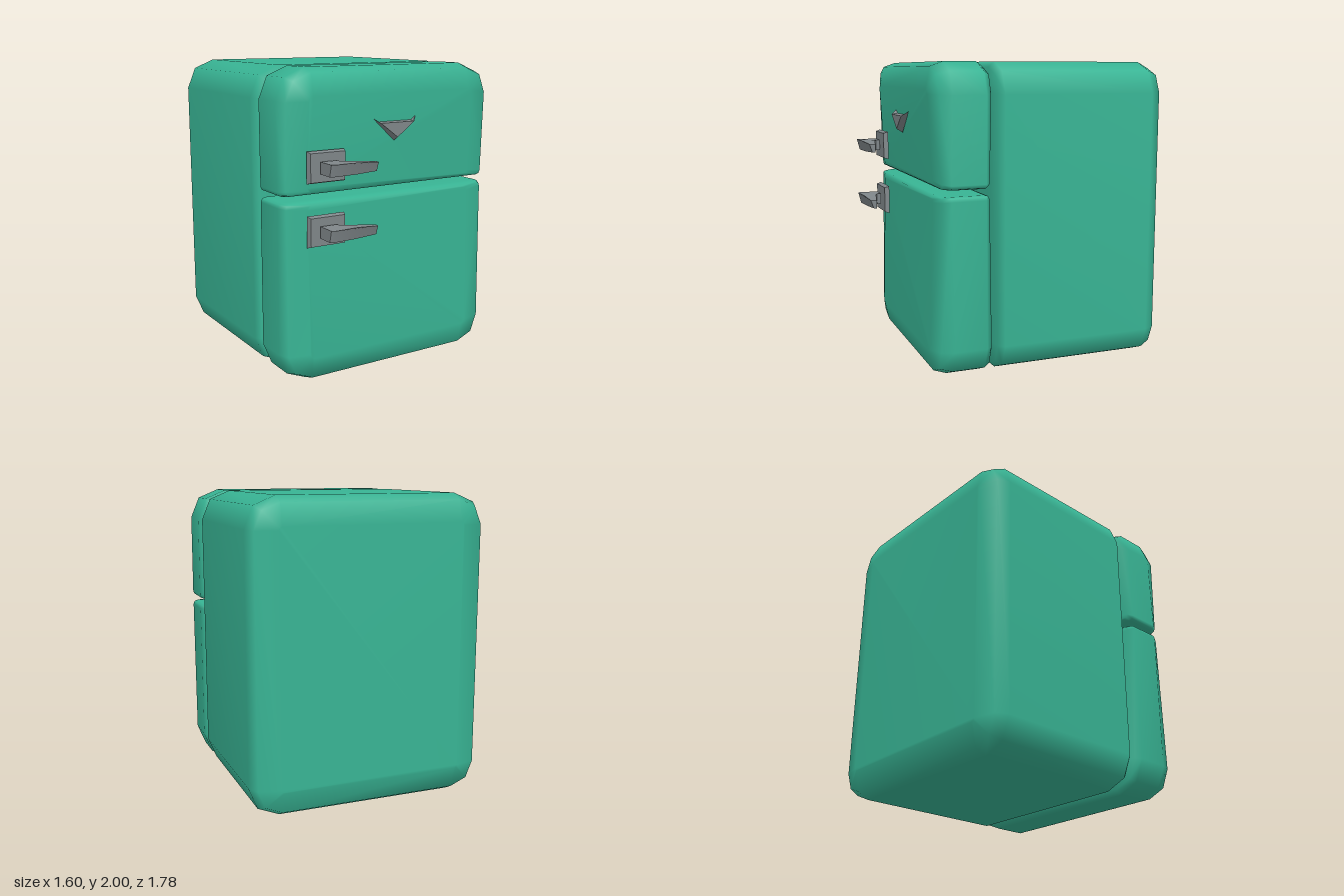
import * as THREE from 'three';
import { mergeVertices, toCreasedNormals } from 'three/addons/utils/BufferGeometryUtils.js';

const enamel = new THREE.MeshStandardMaterial({ color: 0x38b494 });
enamel.name = 'green enamel';
const metal = new THREE.MeshStandardMaterial({ color: 0x80878a });
metal.name = 'grey metal';

// Skins a stack of equal-length rings, ordered back to front, and caps both ends
function loft(rings, flip = false) {
  const n = rings[0].length, last = (rings.length - 1) * n, index = [];
  const tri = (a, b, c) => (flip ? index.push(a, c, b) : index.push(a, b, c));
  for (let r = 0; r < rings.length - 1; r++) {
    for (let j = 0; j < n; j++) {
      const a = r * n + j, b = r * n + (j + 1) % n;
      tri(a, b, b + n);
      tri(a, b + n, a + n);
    }
  }
  for (let k = 1; k < n - 1; k++) {
    tri(0, k + 1, k);
    tri(last, last + k, last + k + 1);
  }
  const geo = new THREE.BufferGeometry();
  geo.setAttribute('position', new THREE.Float32BufferAttribute(rings.flat(2), 3));
  geo.setIndex(index);
  geo.computeVertexNormals();
  return geo;
}

// Rounded rectangle from y0 to y1, each end with its own corner radius and z
function ring(hx, y0, y1, r0, r1, z0, z1) {
  const pts = [], s = Math.sign(y1 - y0);
  const corners = [[-1, 0, 180], [1, 0, 270], [1, 1, 0], [-1, 1, 90]];
  for (const [sx, top, start] of corners) {
    const r = top ? r1 : r0;
    const cx = sx * (hx - r), cy = top ? y1 - s * r : y0 + s * r;
    for (let k = 0; k < 3; k++) {
      const a = THREE.MathUtils.degToRad(start + k * 45);
      const y = cy + s * r * Math.sin(a);
      const t = (y - y0) / (y1 - y0);
      pts.push([cx + r * Math.cos(a), y, z0 + (z1 - z0) * t]);
    }
  }
  return pts;
}

function add(parent, name, geo, mat) {
  const mesh = new THREE.Mesh(geo, mat);
  mesh.name = name;
  parent.add(mesh);
  return mesh;
}

// Cabinet: inset and z of each cross-section
function cabinet() {
  const steps = [[0.18, -0.89], [0.04, -0.855], [0, -0.78], [0, 0.25], [0.035, 0.288], [0.18, 0.3]];
  return loft(steps.map(([i, z]) => {
    const r = 0.2 - i;
    return ring(0.8 - i, i, 2 - i, r, r, z, z);
  }));
}

// Door: rounded at the outer end, tight corners at the end facing the other door
function door(flatY, roundY) {
  const s = Math.sign(roundY - flatY);
  // side inset, inset at the flat end, z at flat end, z at round end
  const steps = [
    [0.17, 0.03, 0.33, 0.303], [0.03, 0.01, 0.345, 0.33], [0, 0, 0.375, 0.37],
    [0, 0, 0.6, 0.585], [0.03, 0.006, 0.65, 0.67], [0.17, 0.02, 0.67, 0.7],
  ];
  return loft(steps.map(([i, f, z0, z1]) =>
    ring(0.8 - i, flatY + s * f, roundY - s * i, 0.03, 0.2 - i, z0, z1)), s < 0);
}

// Bevelled plate behind each handle
function handlePlate(y) {
  const rect = (b, z) => [
    [-0.65 + b, y - 0.1 + b, z], [-0.385 - b, y - 0.1 + b, z],
    [-0.385 - b, y + 0.1 - b, z], [-0.65 + b, y + 0.1 - b, z],
  ];
  return toCreasedNormals(loft([rect(0, 0.7), rect(0.01, 0.732)]), 0.3);
}

// Lever: plan outline extruded downward, with a sloping front and a narrowed tip
function lever(y) {
  const plan = [
    [-0.58, 0.745], [-0.465, 0.745], [-0.46, 0.775], [-0.43, 0.79], [-0.23, 0.83],
    [-0.24, 0.87], [-0.4, 0.882], [-0.565, 0.893], [-0.585, 0.88],
  ];
  const shape = new THREE.Shape(plan.map(([x, z]) => new THREE.Vector2(x, z)));
  let geo = new THREE.ExtrudeGeometry(shape, { depth: 0.076, bevelEnabled: false });
  geo.rotateX(Math.PI / 2).translate(0, y + 0.038, 0);
  const p = geo.attributes.position;
  for (let i = 0; i < p.count; i++) {
    const top = p.getY(i) > y;
    if (!top && p.getZ(i) > 0.85) p.setZ(i, p.getZ(i) - 0.02);
    if (p.getX(i) > -0.3) p.setY(i, p.getY(i) + (top ? -0.012 : 0.006));
  }
  geo.deleteAttribute('normal');
  geo.deleteAttribute('uv');
  geo = mergeVertices(geo);
  return toCreasedNormals(geo, 0.9);
}

// V-shaped badge with bevelled edges
function badge() {
  const back = [[0, 1.525], [0.165, 1.675], [0.13, 1.65], [-0.13, 1.65], [-0.165, 1.675]];
  const front = [[0, 1.55], [0.13, 1.645], [0.12, 1.645], [-0.12, 1.645], [-0.13, 1.645]];
  const at = (pts, z) => pts.map(([x, y]) => [x, y, z]);
  return toCreasedNormals(loft([at(back, 0.69), at(front, 0.733)]), 0.2);
}

export function createModel() {
  const model = new THREE.Group();
  model.name = 'refrigerator';

  add(model, 'cabinet', cabinet(), enamel);
  add(model, 'freezerDoor', door(1.222, 2), enamel);
  add(model, 'mainDoor', door(1.182, 0), enamel);
  add(model, 'badge', badge(), metal);

  for (const [name, y] of [['freezerHandle', 1.403], ['mainHandle', 1.003]]) {
    const handle = new THREE.Group();
    handle.name = name;
    add(handle, 'handlePlate', handlePlate(y), metal);
    add(handle, 'lever', lever(y), metal);
    model.add(handle);
  }
  return model;
}
